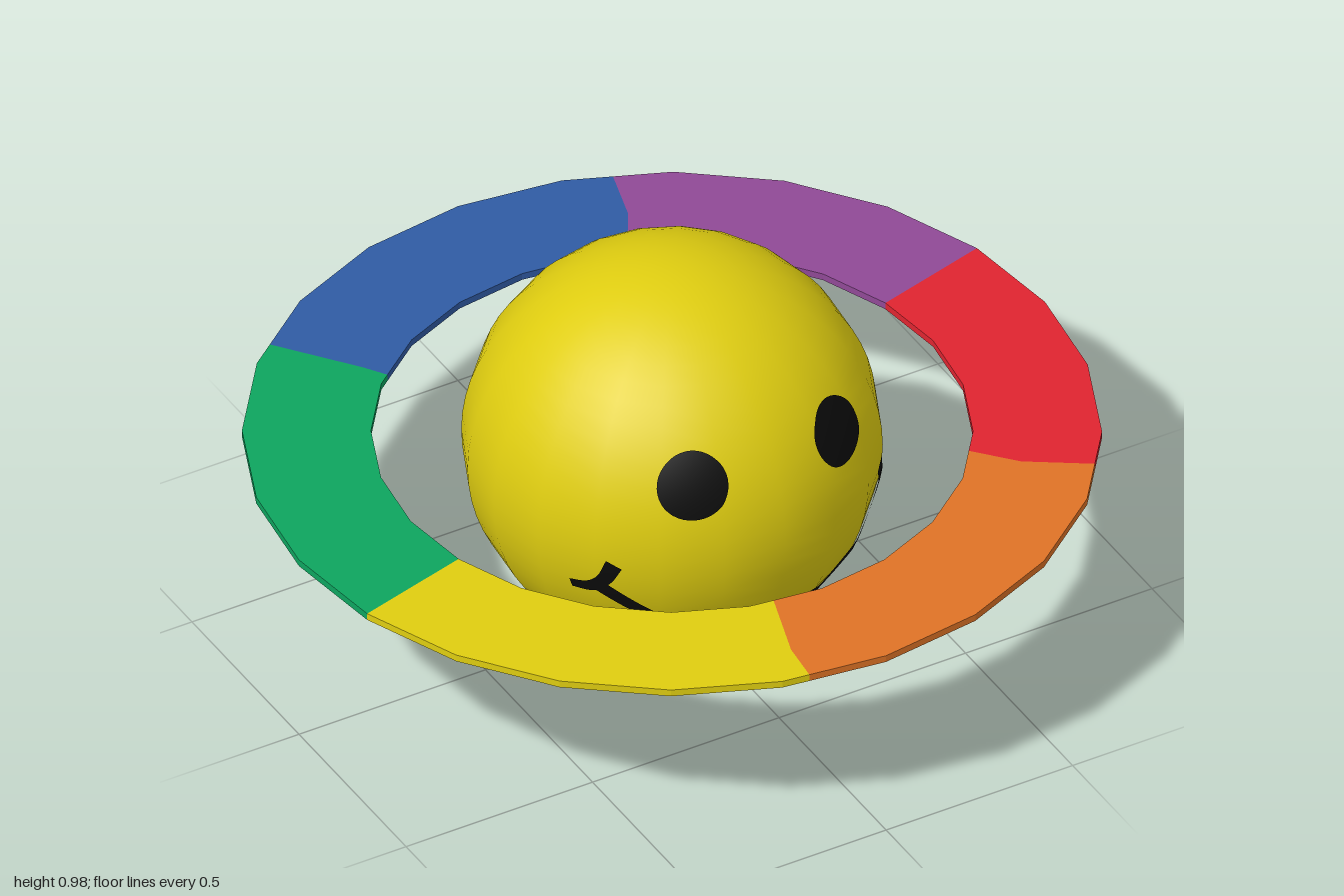
import * as THREE from 'three';

const RAD = Math.PI / 180;
const BALL_R = 0.491, BALL_Y = 0.493;
const BALL_SIDES = 20, RING_SIDES = 24;

const material = (name, color, side = THREE.FrontSide) => {
  const m = new THREE.MeshStandardMaterial({ color, side });
  m.name = name;
  return m;
};

// Radius of a regular polygon (corner radius r) at a given angle in degrees
function polygonRadius(r, deg, sides) {
  const step = 360 / sides;
  const local = ((deg % step) + step) % step;
  return (r * Math.cos((step / 2) * RAD)) / Math.cos((local - step / 2) * RAD);
}

// Point just above the faceted ball along a direction
function onBall(dir, lift = 0.004) {
  const d = dir.clone().normalize();
  const lon = Math.atan2(d.x, d.z) / RAD;
  const k = polygonRadius(BALL_R, lon, BALL_SIDES);
  return new THREE.Vector3(d.x * k, d.y * BALL_R, d.z * k).addScaledVector(d, lift);
}

// Direction from longitude (0 = front, + = left) and latitude in degrees
function direction(lon, lat) {
  const c = Math.cos(lat * RAD);
  return new THREE.Vector3(Math.sin(lon * RAD) * c, Math.sin(lat * RAD), Math.cos(lon * RAD) * c);
}

// Grid of surface points turned into a mesh geometry
function gridGeometry(rows, cols, point) {
  const pos = [], nor = [], idx = [];
  for (let i = 0; i <= rows; i++) {
    for (let j = 0; j <= cols; j++) {
      const p = point(i / rows, j / cols);
      pos.push(...p.toArray());
      nor.push(...p.clone().normalize().toArray());
      if (i < rows && j < cols) {
        const a = i * (cols + 1) + j, b = a + cols + 1;
        idx.push(a, b, a + 1, b, b + 1, a + 1);
      }
    }
  }
  const g = new THREE.BufferGeometry();
  g.setAttribute('position', new THREE.Float32BufferAttribute(pos, 3));
  g.setAttribute('normal', new THREE.Float32BufferAttribute(nor, 3));
  g.setIndex(idx);
  return g;
}

// Round painted spot on the ball
function spot(lon, lat, radiusDeg) {
  const c = direction(lon, lat);
  const u = new THREE.Vector3(0, 1, 0).cross(c).normalize();
  const v = c.clone().cross(u);
  return gridGeometry(6, 40, (s, t) => {
    const r = Math.tan(radiusDeg * RAD) * s, a = t * Math.PI * 2;
    return onBall(c.clone().addScaledVector(u, r * Math.cos(a)).addScaledVector(v, r * Math.sin(a)));
  });
}

// Painted stroke following longitude/latitude points on the ball
function stroke(points, width, steps) {
  const curve = new THREE.CatmullRomCurve3(points.map(([lon, lat]) => direction(lon, lat)));
  return gridGeometry(steps, 4, (s, t) => {
    const p = curve.getPoint(s).normalize();
    const across = p.clone().cross(curve.getTangent(s)).normalize();
    return onBall(p.addScaledVector(across, ((2 * t - 1) * width(s)) / BALL_R));
  });
}

// One coloured section of the ring between two bent seams
function ringSection(from, to) {
  const at = (r, deg) => {
    return new THREE.Vector2(r * Math.cos(deg * RAD), r * Math.sin(deg * RAD));
  };
  const edge = (r, a, b) => {
    const step = 360 / RING_SIDES;
    const pts = [at(polygonRadius(r, a, RING_SIDES), a)];
    for (let k = Math.floor(a / step) + 1; k * step < b; k++) pts.push(at(r, k * step));
    pts.push(at(polygonRadius(r, b, RING_SIDES), b));
    return pts;
  };
  const outline = [
    ...edge(1, from.outer, to.outer),
    at(to.midR, to.mid),
    ...edge(0.7, from.inner, to.inner).reverse(),
    at(from.midR, from.mid),
  ];
  const g = new THREE.ExtrudeGeometry(new THREE.Shape(outline), { depth: 0.018, bevelEnabled: false });
  return g.rotateX(Math.PI / 2).translate(0, 0.51, 0);
}

export function createModel() {
  const model = new THREE.Group();
  model.name = 'smilingRingedBall';
  const yellow = material('yellow', 0xdfcd10);
  const black = material('black', 0x0b0b0b, THREE.DoubleSide);

  const add = (parent, name, geometry, mat) => {
    const mesh = new THREE.Mesh(geometry, mat);
    mesh.name = name;
    parent.add(mesh);
  };

  // Ball with its face, turned slightly to its left
  const head = new THREE.Group();
  head.name = 'head';
  head.position.y = BALL_Y;
  head.rotation.y = 2.6 * RAD;
  model.add(head);
  add(head, 'ball', new THREE.SphereGeometry(BALL_R, BALL_SIDES, 32), yellow);

  // Eyes and mouth corners, mirrored
  for (const [side, s] of [['left', 1], ['right', -1]]) {
    add(head, side + 'Eye', spot(26.3 * s, 23, 9.8), black);
    const corner = [[48.5, -2.3], [51.5, -8], [56, -11.5], [62, -12.8]];
    add(head, side + 'MouthCorner',
      stroke(corner.map(([lon, lat]) => [lon * s, lat]), (t) => 0.021 - 0.009 * t, 20), black);
  }

  // Smile
  const half = [[20.5, -28], [38.3, -20.5], [53, -10.5]];
  const smile = [...half.map(([lon, lat]) => [-lon, lat]).reverse(), [0, -30], ...half];
  add(head, 'smile', stroke(smile, () => 0.018, 60), black);

  // Ring seams, as angles from +x towards +z
  const seam = (inner, midR, mid, outer) => ({ inner, midR, mid, outer });
  const seams = [
    seam(-15, 0.83, -15, -15),
    seam(36.2, 0.82, 38.1, 37.2),
    seam(100, 0.888, 101.7, 101.1),
    seam(165, 0.83, 165, 165),
    seam(228, 0.758, 228.7, 229.5),
    seam(291.3, 0.847, 292.9, 291.9),
    seam(345, 0.83, 345, 345),
  ];
  const colours = [
    material('red', 0xdf2430),
    material('orange', 0xdf7326),
    yellow,
    material('green', 0x0da55f),
    material('blue', 0x305ba4),
    material('purple', 0x904996),
  ];
  const ring = new THREE.Group();
  ring.name = 'ring';
  model.add(ring);
  colours.forEach((mat, i) => {
    add(ring, mat.name + 'RingSection', ringSection(seams[i], seams[i + 1]), mat);
  });

  return model;
}
